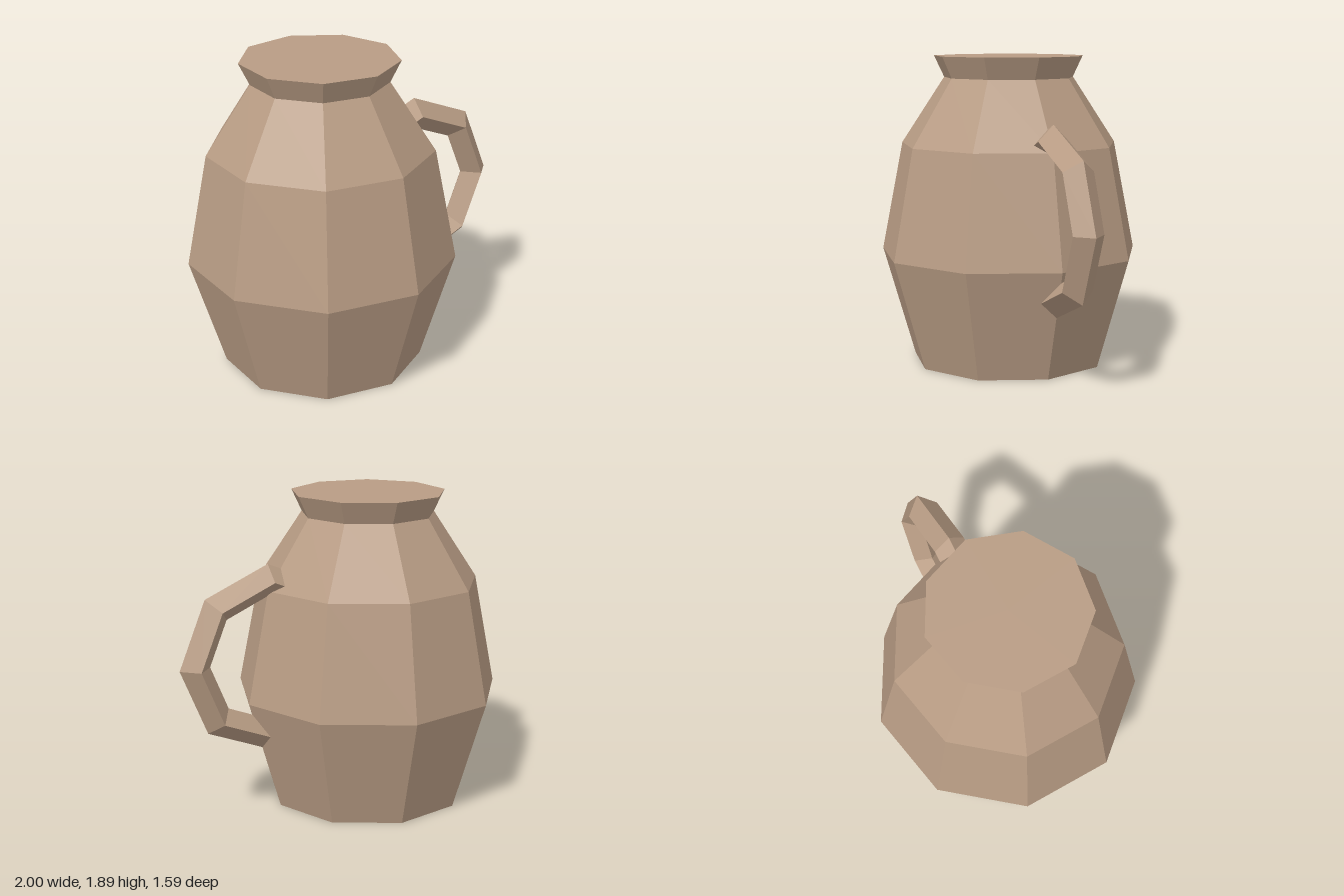
import * as THREE from 'three';

export function createModel() {
  const model = new THREE.Group();
  model.name = 'jug';

  const clay = new THREE.MeshStandardMaterial({ color: 0xb89c84 });
  clay.name = 'clay';
  clay.flatShading = true;

  // Nine-sided jug body: closed base, belly, shoulder, neck, flared rim and flat top
  const profile = [
    [0, 0], [0.606, 0], [0.807, 0.677], [0.674, 1.35],
    [0.405, 1.757], [0.468, 1.888], [0, 1.888],
  ].map(([r, y]) => new THREE.Vector2(r, y));
  const body = new THREE.Mesh(new THREE.LatheGeometry(profile, 9, Math.PI / 2), clay);
  body.name = 'body';
  body.position.x = -0.242;
  model.add(body);

  // Handle: diamond-section ring segment whose ends sit inside the body
  const handle = new THREE.Mesh(new THREE.TorusGeometry(0.474, 0.095, 4, 6, Math.PI * 1.5), clay);
  handle.name = 'handle';
  handle.position.set(0.431, 0.945, 0);
  handle.rotation.z = -Math.PI * 0.75;
  model.add(handle);

  return model;
}
